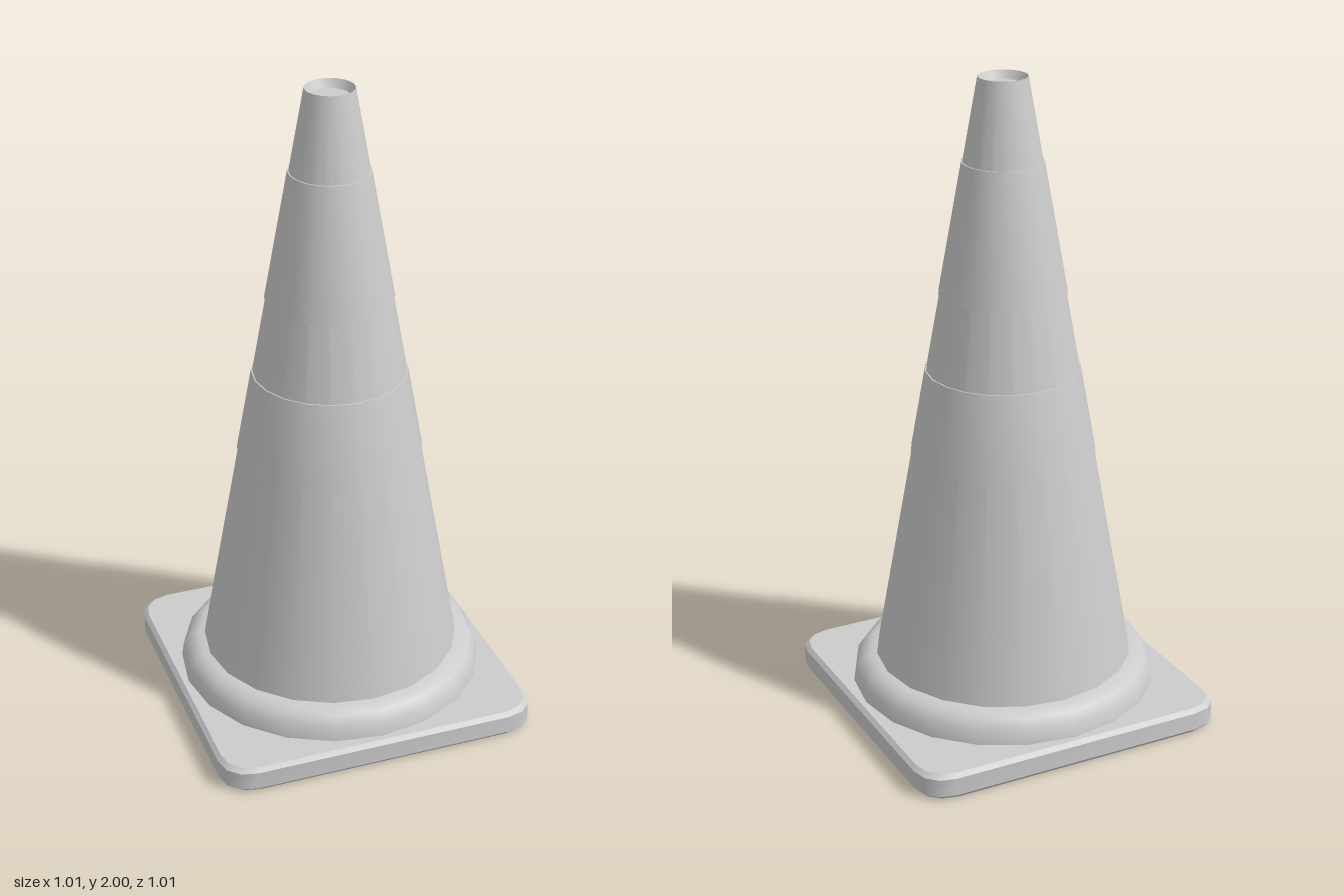
import * as THREE from 'three';
import { toCreasedNormals } from 'three/addons/utils/BufferGeometryUtils.js';

const SIDES = 20;
const CREASE = 0.6;
const rubber = new THREE.MeshStandardMaterial({ color: 0xcccccc });
rubber.name = 'light grey rubber';

function addPart(group, name, geometry) {
  const mesh = new THREE.Mesh(toCreasedNormals(geometry, CREASE), rubber);
  mesh.name = name;
  group.add(mesh);
}

// Round part turned from [radius, height] points
function turned(profile) {
  return new THREE.LatheGeometry(profile.map(([r, y]) => new THREE.Vector2(r, y)), SIDES);
}

// Radius of the tapering body at a given height
const bodyRadius = (y) => THREE.MathUtils.mapLinear(y, 0.17, 2, 0.4, 0.074);

// Square outline with four-point corners, lofted through [half width, height] levels
function loftedSquare(levels) {
  const corner = [[1, 0.81], [0.975, 0.91], [0.91, 0.975], [0.81, 1]];
  const outline = [];
  for (let k = 0; k < 4; k++) {
    const c = Math.round(Math.cos(k * Math.PI / 2));
    const s = Math.round(Math.sin(k * Math.PI / 2));
    for (const [x, z] of corner) outline.push([x * c - z * s, x * s + z * c]);
  }
  const n = outline.length;
  const positions = [];
  for (const [half, y] of levels) {
    for (const [x, z] of outline) positions.push(x * half, y, z * half);
  }
  const index = [];
  for (let r = 0; r < levels.length - 1; r++) {
    for (let i = 0; i < n; i++) {
      const j = (i + 1) % n;
      const a = r * n + i, b = r * n + j, c = a + n, d = b + n;
      if (levels[r][0] > 0) index.push(a, c, b);
      if (levels[r + 1][0] > 0) index.push(b, c, d);
    }
  }
  const geometry = new THREE.BufferGeometry();
  geometry.setAttribute('position', new THREE.Float32BufferAttribute(positions, 3));
  geometry.setIndex(index);
  return geometry;
}

export function createModel() {
  const group = new THREE.Group();
  group.name = 'trafficCone';

  // Square foot with bevelled edges and a recessed underside
  addPart(group, 'base', loftedSquare([
    [0, 0.062], [0.482, 0.062], [0.49, 0], [0.494, 0], [0.504, 0.012],
    [0.504, 0.068], [0.492, 0.081], [0, 0.081],
  ]));

  // Rounded collar around the foot of the body
  addPart(group, 'collar', turned([
    [0.475, 0.078], [0.468, 0.125], [0.447, 0.153], [0.422, 0.167], [0.39, 0.17],
  ]));

  // Tapering body with a shallow cup in its tip
  addPart(group, 'body', turned([
    [bodyRadius(0.16), 0.16], [bodyRadius(2), 2], [0.06, 1.975], [0, 1.975],
  ]));

  // Two slightly raised sleeves
  for (const [name, low, high] of [['lowerBand', 0.845, 1.11], ['upperBand', 1.35, 1.75]]) {
    const raise = 0.004;
    addPart(group, name, turned([
      [bodyRadius(low) - 0.002, low],
      [bodyRadius(low) + raise, low],
      [bodyRadius(high) + raise, high],
      [bodyRadius(high) - 0.002, high],
    ]));
  }

  return group;
}
